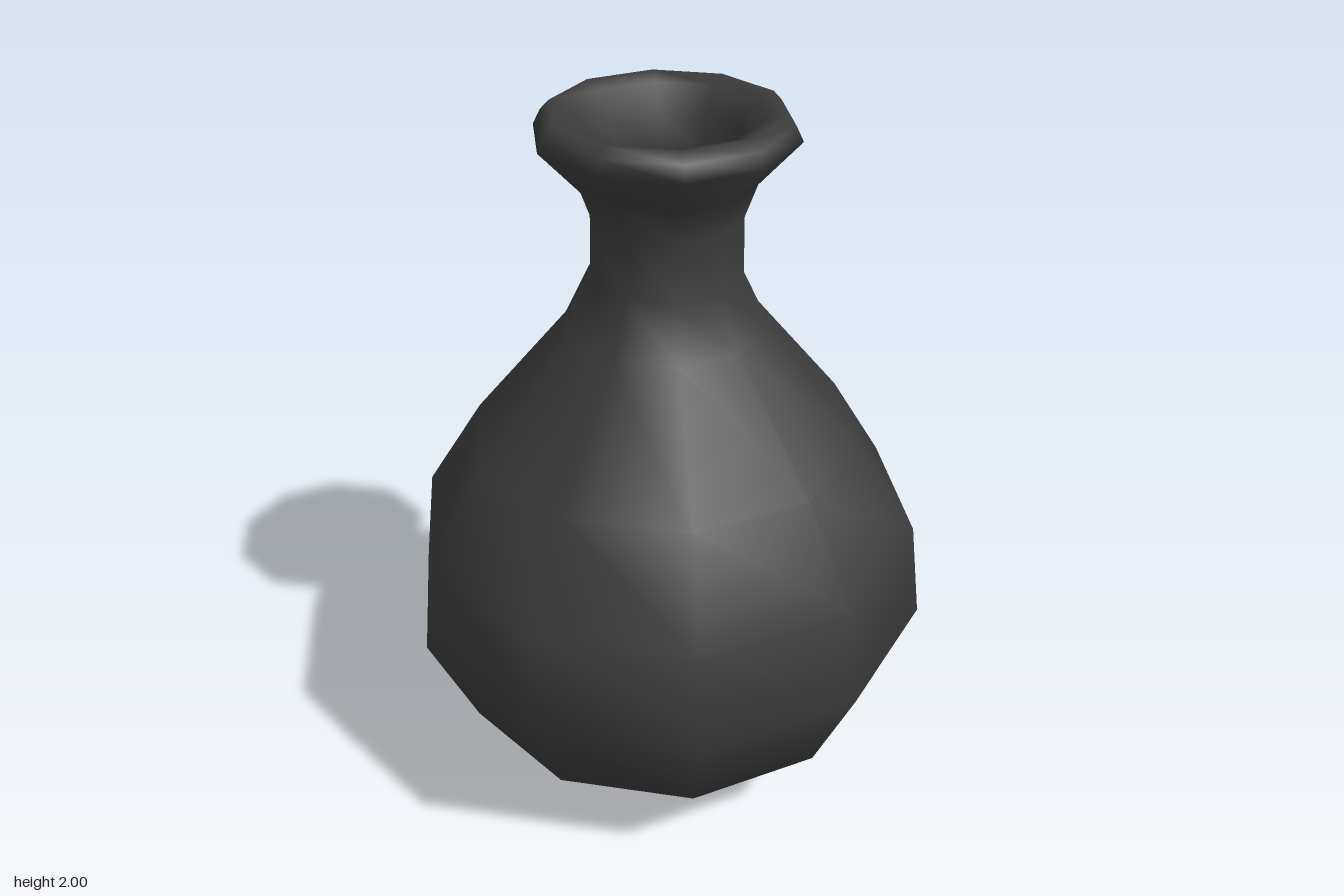
import * as THREE from 'three';

const SIDES = 10;

export function createModel() {
  const vase = new THREE.Group();
  vase.name = 'vase';
  const material = new THREE.MeshStandardMaterial({ color: 0x3c3c3c });

  const add = (name, geometry) => {
    const mesh = new THREE.Mesh(geometry, material);
    mesh.name = name;
    vase.add(mesh);
    return mesh;
  };

  // Ten-sided turned wall with a corner on the x axis
  const turn = (points) => new THREE.LatheGeometry(
    points.map(([r, y]) => new THREE.Vector2(r, y)), SIDES, Math.PI / 2);

  // Belly, neck, flared lip and the hollow inside, as one smooth profile
  add('body', turn([
    [0.275, 0], [0.595, 0.285], [0.727, 0.575], [0.692, 0.85],
    [0.53, 1.11], [0.272, 1.425], [0.202, 1.57], [0.198, 1.73],
    [0.23, 1.82], [0.337, 1.937], [0.318, 1.975], [0.295, 2],
    [0.245, 1.985], [0.2, 1.92], [0.185, 1.82], [0.185, 1.58], [0, 1.3],
  ]));

  // Flat foot
  const foot = add('foot', new THREE.CircleGeometry(0.275, SIDES));
  foot.rotation.x = Math.PI / 2;

  return vase;
}
